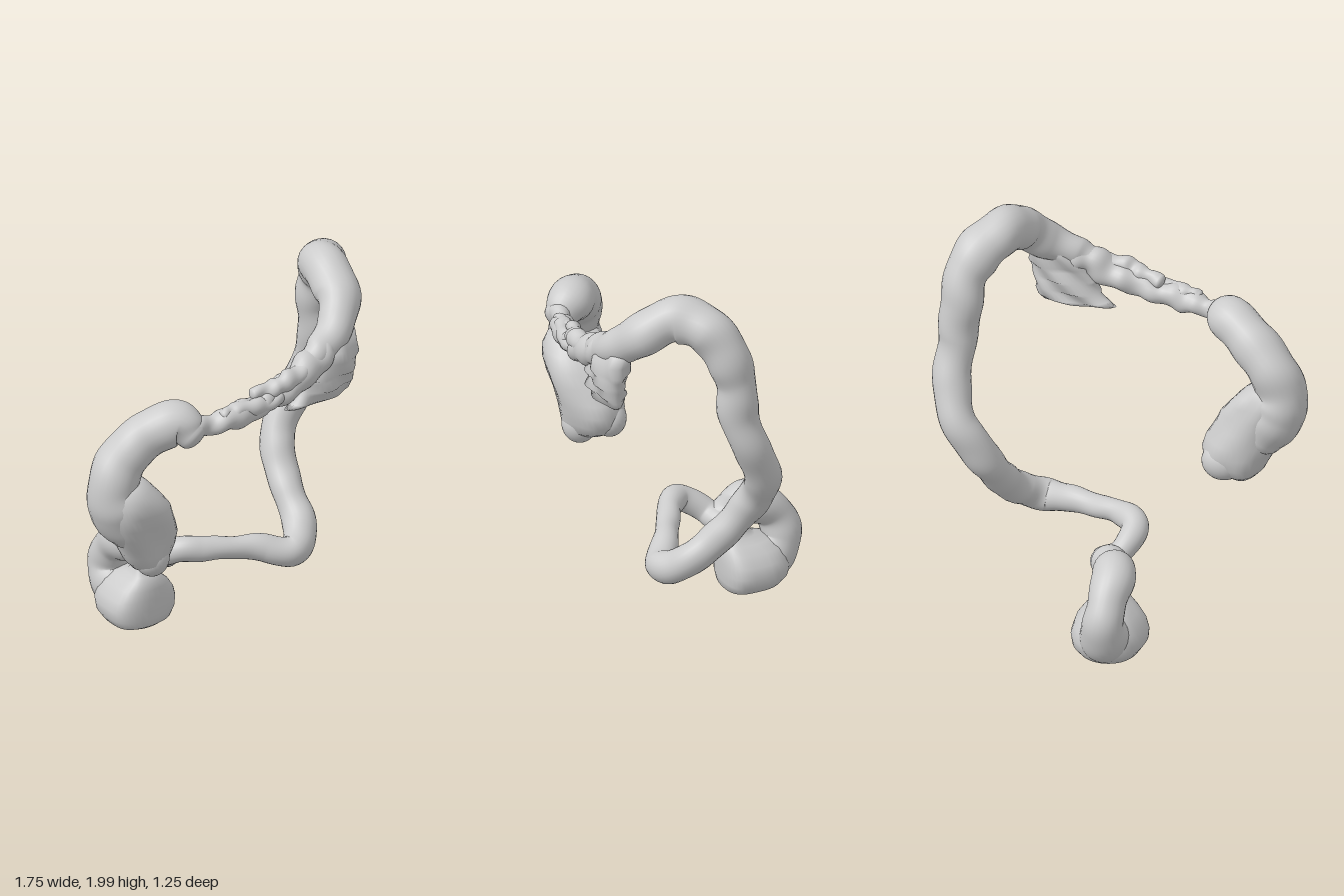
import * as THREE from 'three';

const material = new THREE.MeshStandardMaterial({ color: 0xcccccc });

// Closed skin over rings of equal point count; seam vertices are shared for smooth normals
function skin(rings, name) {
  const n = rings[0].length, pos = [], idx = [];
  rings.forEach(r => r.forEach(p => pos.push(p.x, p.y, p.z)));
  for (let i = 0; i < rings.length - 1; i++) {
    for (let j = 0; j < n; j++) {
      const a = i * n + j, b = i * n + (j + 1) % n;
      idx.push(a, b, a + n, b, b + n, a + n);
    }
  }
  const g = new THREE.BufferGeometry();
  g.setAttribute('position', new THREE.Float32BufferAttribute(pos, 3));
  g.setIndex(idx);
  g.computeVertexNormals();
  const mesh = new THREE.Mesh(g, material);
  mesh.name = name;
  return mesh;
}

// Organic tube through [x, y, z, radius] stations, with soft bulges and rounded ends
function gutTube(name, stations, bump = 0.05, cap = 0.6, sides = 24) {
  const path = new THREE.CatmullRomCurve3(stations.map(s => new THREE.Vector3(s[0], s[1], s[2])));
  const radii = new THREE.SplineCurve(stations.map((s, i) => new THREE.Vector2(i, s[3])));
  const steps = stations.length * 9, capSteps = 6, rings = [];
  const normal = new THREE.Vector3(0.31, 0.2, 0.93);
  const addRing = (t, scale, push) => {
    const c = path.getPoint(t), tan = path.getTangent(t), r = radii.getPoint(t).y;
    normal.addScaledVector(tan, -normal.dot(tan)).normalize();
    const bin = new THREE.Vector3().crossVectors(tan, normal);
    c.addScaledVector(tan, push * r * cap);
    const ring = [];
    for (let j = 0; j < sides; j++) {
      const a = j / sides * Math.PI * 2, s = t * stations.length;
      const wave = Math.sin(s * 5.1 + 1.3 * Math.sin(a)) * 0.6 + Math.sin(s * 3.3 + 2 * a) * 0.5;
      const k = r * scale * (1 + bump * wave);
      ring.push(c.clone().addScaledVector(normal, Math.cos(a) * k).addScaledVector(bin, Math.sin(a) * k));
    }
    rings.push(ring);
  };
  for (let i = 0; i < capSteps; i++) {
    const a = i / capSteps * Math.PI / 2;
    addRing(0, Math.sin(a), -Math.cos(a));
  }
  for (let i = 0; i <= steps; i++) addRing(i / steps, 1, 0);
  for (let i = 1; i <= capSteps; i++) {
    const a = i / capSteps * Math.PI / 2;
    addRing(1, Math.cos(a), Math.sin(a));
  }
  return skin(rings, name);
}

// Stack of ovals [y, xMin, xMax, zMin, zMax], rising; shape(x, z, angle, row) adjusts the unit oval
function stackedOvals(name, rows, shape, n = 40) {
  return skin(rows.map(([y, x0, x1, z0, z1], i) => Array.from({ length: n }, (_, j) => {
    const a = j / n * Math.PI * 2;
    const [u, v] = shape(Math.cos(a), -Math.sin(a), a, i);
    return new THREE.Vector3((x0 + x1 + u * (x1 - x0)) / 2, y, (z0 + z1 + v * (z1 - z0)) / 2);
  })), name);
}

// Soft rounded pouch
function pouch(name, x, y, z, rx, ry, rz) {
  const mesh = new THREE.Mesh(new THREE.SphereGeometry(1, 28, 20), material);
  mesh.position.set(x, y, z);
  mesh.scale.set(rx, ry, rz);
  mesh.name = name;
  return mesh;
}

export function createModel() {
  const group = new THREE.Group();
  group.name = 'largeIntestine';

  // Flat-bottomed lower chamber, broad in front and narrow behind
  group.add(stackedOvals('lowerChamber', [
    [0.008, -0.09, -0.06, -0.36, -0.34], [0.01, -0.16, 0.02, -0.46, -0.24], [0.03, -0.22, 0.07, -0.52, -0.215],
    [0.07, -0.245, 0.098, -0.55, -0.208], [0.12, -0.25, 0.105, -0.56, -0.207], [0.17, -0.235, 0.09, -0.55, -0.207],
    [0.22, -0.2, 0.055, -0.53, -0.21], [0.255, -0.165, 0.015, -0.47, -0.218], [0.28, -0.14, -0.015, -0.39, -0.235],
    [0.31, -0.12, -0.03, -0.355, -0.265], [0.35, -0.11, -0.04, -0.35, -0.275], [0.37, -0.08, -0.07, -0.32, -0.31]
  ], (x, z) => [x * (1 + 0.22 * z) * (1 + 0.15 * z * z), Math.sign(z) * Math.abs(z) ** 0.75]));

  // Hooked bend above the chamber
  group.add(gutTube('lowerBend', [
    [-0.085, 0.13, -0.4, 0.11], [-0.085, 0.145, -0.47, 0.12], [-0.09, 0.25, -0.53, 0.102],
    [-0.1, 0.36, -0.49, 0.092], [-0.1, 0.435, -0.37, 0.108], [-0.07, 0.42, -0.27, 0.088],
    [-0.02, 0.405, -0.21, 0.085], [0, 0.4, -0.19, 0.07]
  ], 0.03, 0.7));

  // Thin winding section rising into the tall side and the arch over the top
  group.add(gutTube('windingAndArch', [
    [0, 0.4, -0.2, 0.065], [-0.08, 0.44, -0.14, 0.06], [-0.108, 0.515, -0.02, 0.064],
    [-0.01, 0.52, 0.06, 0.06], [0.12, 0.505, 0.115, 0.055], [0.26, 0.485, 0.18, 0.065],
    [0.39, 0.445, 0.245, 0.076], [0.5, 0.5, 0.18, 0.08], [0.545, 0.6, 0.06, 0.078],
    [0.575, 0.72, -0.05, 0.08], [0.625, 0.86, -0.135, 0.085], [0.725, 1.02, -0.15, 0.088],
    [0.78, 1.2, -0.08, 0.09], [0.77, 1.4, -0.01, 0.095],
    [0.755, 1.58, 0, 0.1], [0.74, 1.74, 0.05, 0.108], [0.675, 1.85, 0.13, 0.115],
    [0.6, 1.88, 0.25, 0.112], [0.56, 1.81, 0.39, 0.105], [0.47, 1.715, 0.475, 0.09],
    [0.34, 1.645, 0.52, 0.075], [0.26, 1.61, 0.53, 0.06]
  ], 0.055));

  // Narrow crumpled crossing, with overlapping folds
  group.add(gutTube('crossingSection', [
    [0.36, 1.64, 0.515, 0.072], [0.26, 1.595, 0.535, 0.074], [0.14, 1.535, 0.54, 0.07],
    [0.02, 1.505, 0.535, 0.06], [-0.1, 1.475, 0.53, 0.058], [-0.22, 1.465, 0.52, 0.062],
    [-0.32, 1.45, 0.495, 0.046], [-0.42, 1.45, 0.46, 0.06]
  ], 0.14));
  group.add(gutTube('upperFold', [
    [0.22, 1.6, 0.55, 0.04], [0.1, 1.575, 0.565, 0.048], [0.02, 1.555, 0.55, 0.042], [-0.08, 1.545, 0.52, 0.032]
  ], 0.16));
  group.add(gutTube('middleFold', [
    [0.04, 1.5, 0.565, 0.035], [-0.08, 1.495, 0.56, 0.04], [-0.2, 1.5, 0.53, 0.038], [-0.27, 1.49, 0.52, 0.03]
  ], 0.16));

  // Ragged hanging flap with ledges and creased sides
  group.add(stackedOvals('hangingFlap', [
    [1.38, 0.31, 0.33, 0.49, 0.5], [1.38, 0.13, 0.49, 0.46, 0.545], [1.4, 0.17, 0.515, 0.44, 0.575],
    [1.43, 0.205, 0.53, 0.455, 0.57], [1.455, 0.21, 0.525, 0.43, 0.6], [1.49, 0.235, 0.54, 0.45, 0.58],
    [1.515, 0.22, 0.545, 0.43, 0.605], [1.55, 0.26, 0.55, 0.45, 0.585], [1.58, 0.25, 0.565, 0.43, 0.6],
    [1.63, 0.29, 0.555, 0.43, 0.59], [1.69, 0.34, 0.56, 0.42, 0.56], [1.74, 0.45, 0.47, 0.46, 0.48]
  ], (x, z, a, i) => [x, z * (1 + 0.14 * Math.sin(5 * a + i * 1.1))]));

  // Broad shoulder descending into the end pouch
  group.add(gutTube('broadShoulder', [
    [-0.415, 1.42, 0.47, 0.08], [-0.45, 1.47, 0.41, 0.108], [-0.57, 1.42, 0.33, 0.112],
    [-0.69, 1.31, 0.28, 0.118], [-0.75, 1.17, 0.275, 0.122], [-0.72, 1.06, 0.28, 0.14],
    [-0.64, 0.94, 0.28, 0.13]
  ], 0.035));

  // Lumpy end pouch, its front leaning right and its back leaning left
  group.add(stackedOvals('endPouch', [
    [0.69, -0.57, -0.55, 0.26, 0.28], [0.7, -0.62, -0.48, 0.2, 0.36], [0.74, -0.66, -0.415, 0.145, 0.395],
    [0.79, -0.685, -0.38, 0.12, 0.405], [0.85, -0.715, -0.37, 0.115, 0.42], [0.91, -0.755, -0.385, 0.125, 0.43],
    [0.98, -0.795, -0.42, 0.14, 0.45], [1.05, -0.82, -0.45, 0.15, 0.46], [1.11, -0.83, -0.5, 0.155, 0.45],
    [1.16, -0.82, -0.55, 0.165, 0.42], [1.19, -0.8, -0.59, 0.19, 0.385], [1.21, -0.71, -0.69, 0.27, 0.29]
  ], (x, z, a, i) => {
    const k = 1 + 0.04 * Math.sin(3 * a + i * 0.7) + 0.03 * Math.sin(5 * a - i * 0.9);
    return [x * k, z * k - 0.2 * x * Math.abs(x)];
  }));
  group.add(pouch('endPouchFrontTip', -0.545, 0.755, 0.32, 0.085, 0.098, 0.088));
  group.add(pouch('endPouchBackTip', -0.48, 0.8, 0.2, 0.105, 0.095, 0.085));
  return group;
}
